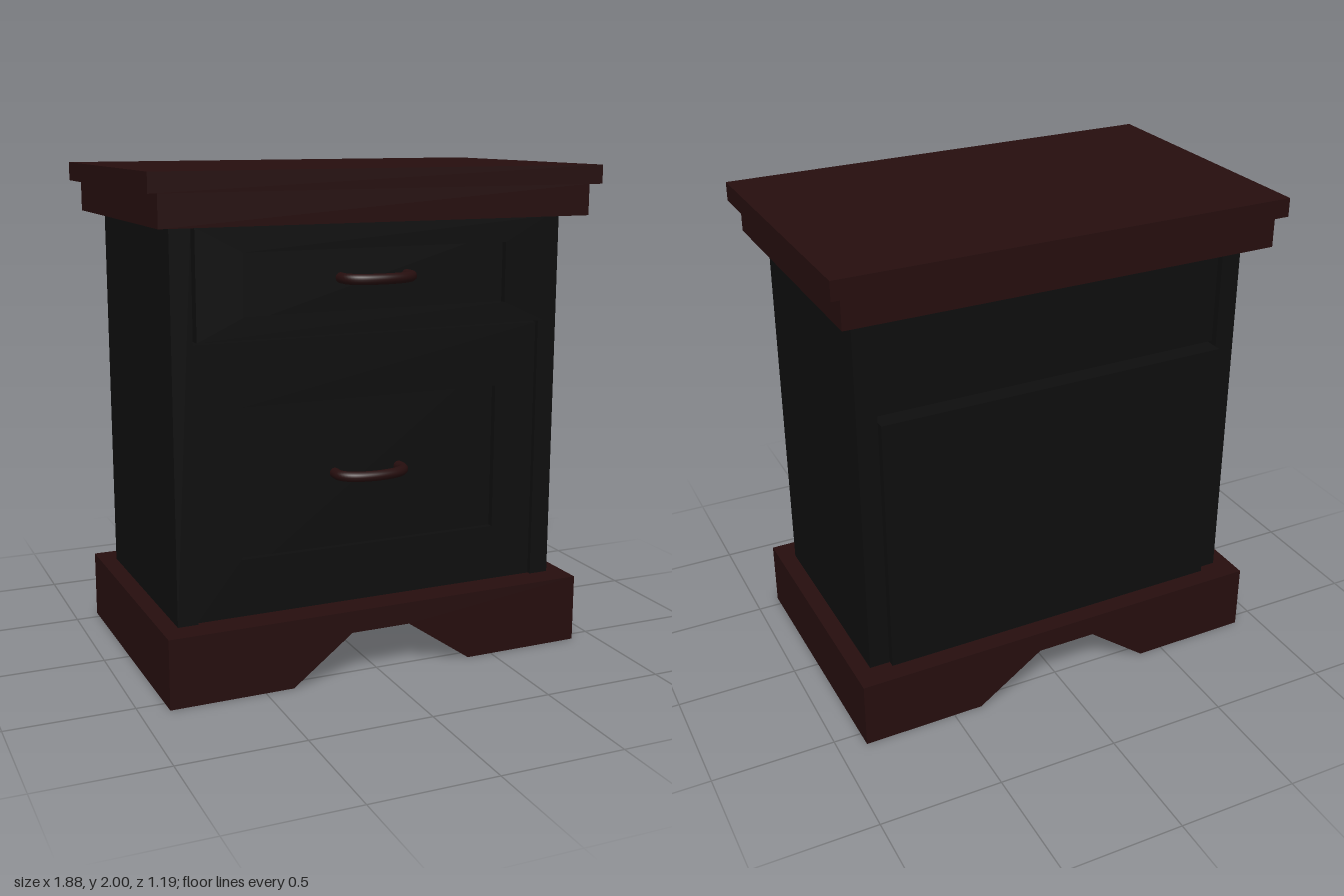
import * as THREE from 'three';

const wood = new THREE.MeshStandardMaterial({ color: 0x260e0e });
const black = new THREE.MeshStandardMaterial({ color: 0x0e0e0e });

function add(parent, name, geometry, material, x = 0, y = 0, z = 0) {
  const mesh = new THREE.Mesh(geometry, material);
  mesh.name = name;
  mesh.position.set(x, y, z);
  parent.add(mesh);
  return mesh;
}

// Box given by its size and the height of its underside
function slab(parent, name, w, y0, y1, d, material, x = 0, z = 0) {
  return add(parent, name, new THREE.BoxGeometry(w, y1 - y0, d), material, x, (y0 + y1) / 2, z);
}

function polygon(points, Type = THREE.Shape) {
  return new Type(points.map(([x, y]) => new THREE.Vector2(x, y)));
}

const rect = (w, y0, y1) => [[-w, y0], [w, y0], [w, y1], [-w, y1]];

// Drawer: solid box, framed front with a recessed panel, bow handle
function makeDrawer(name, y0, y1, panelY0, panelY1, handleY, front) {
  const drawer = new THREE.Group();
  drawer.name = name;
  const halfW = 0.738, depth = 0.915, recess = 0.025;
  const boxDepth = depth - recess;
  slab(drawer, 'drawerBox', halfW * 2, y0, y1, boxDepth, black, 0, front - recess - boxDepth / 2);

  const frame = polygon(rect(halfW, y0, y1));
  frame.holes.push(polygon(rect(0.555, panelY0, panelY1).reverse(), THREE.Path));
  add(drawer, 'drawerFrame', new THREE.ExtrudeGeometry(frame, { depth: recess, bevelEnabled: false }),
    black, 0, 0, front - recess);

  const path = new THREE.CatmullRomCurve3([
    [-0.14, -0.03], [-0.137, 0.025], [-0.1, 0.062], [0, 0.082],
    [0.1, 0.062], [0.137, 0.025], [0.14, -0.03],
  ].map(([x, z]) => new THREE.Vector3(x, 0, z)));
  add(drawer, 'handle', new THREE.TubeGeometry(path, 40, 0.021, 12), wood, -0.013, handleY, front);
  return drawer;
}

export function createModel() {
  const model = new THREE.Group();
  model.name = 'nightstand';
  // The whole cabinet stands very slightly turned
  model.rotation.y = 0.0125;

  // Plinth with a notch running from front to back
  const outline = polygon([
    [-0.893, 0], [-0.39, 0], [-0.14, 0.19], [0.11, 0.19],
    [0.385, 0], [0.893, 0], [0.893, 0.28], [-0.893, 0.28],
  ]);
  add(model, 'plinth', new THREE.ExtrudeGeometry(outline, { depth: 1.116, bevelEnabled: false }),
    wood, 0, 0, -0.558);

  // Side walls
  for (const side of [-1, 1]) {
    slab(model, side > 0 ? 'leftSide' : 'rightSide', 0.083, 0.28, 1.8, 0.902, black, side * 0.7815);
  }

  // Drawers, the upper one set further forward
  model.add(makeDrawer('lowerDrawer', 0.28, 1.362, 0.51, 1.11, 0.81, 0.436));
  model.add(makeDrawer('upperDrawer', 1.376, 1.797, 1.46, 1.70, 1.588, 0.49));

  // Stepped top
  slab(model, 'cornice', 1.786, 1.8, 1.925, 1.116, wood);
  slab(model, 'top', 1.87, 1.925, 2, 1.17, wood);

  return model;
}
